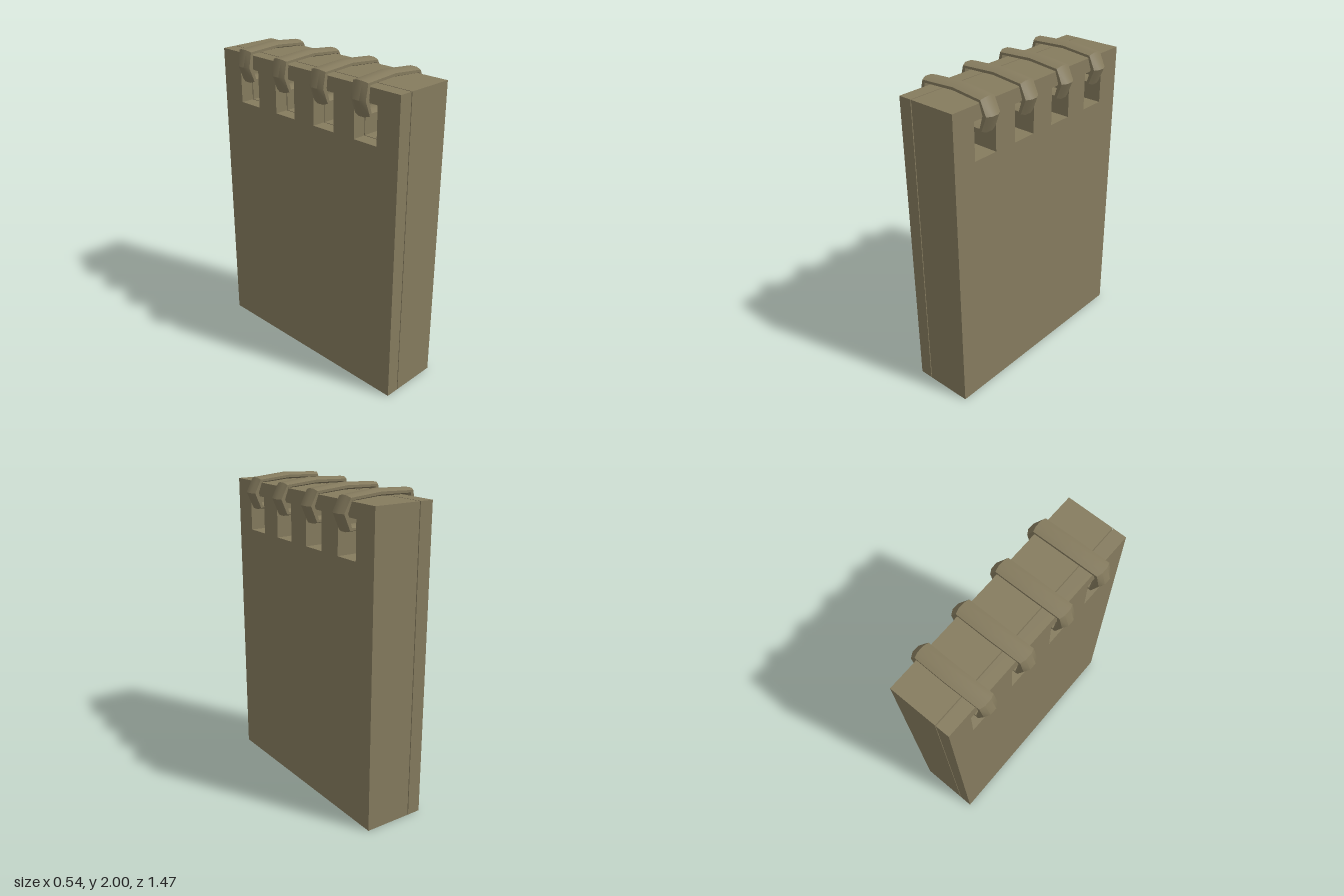
import * as THREE from 'three';
import { toCreasedNormals } from 'three/addons/utils/BufferGeometryUtils.js';

const material = new THREE.MeshStandardMaterial({ color: 0x857b5e });
const HALF_DEPTH = 0.737, HEIGHT = 1.95;
const SLOTS = [[0.41, 0.58], [0.085, 0.25], [-0.245, -0.08], [-0.575, -0.405]];
const RINGS = [0.483, 0.162, -0.162, -0.483];

// Upright board with a row of rectangular slots near its top edge
function board(name, x0, x1) {
  const shape = new THREE.Shape([
    new THREE.Vector2(-HALF_DEPTH, 0), new THREE.Vector2(HALF_DEPTH, 0),
    new THREE.Vector2(HALF_DEPTH, HEIGHT), new THREE.Vector2(-HALF_DEPTH, HEIGHT),
  ]);
  for (const [a, b] of SLOTS) {
    shape.holes.push(new THREE.Path([
      new THREE.Vector2(a, 1.625), new THREE.Vector2(a, 1.86),
      new THREE.Vector2(b, 1.86), new THREE.Vector2(b, 1.625),
    ]));
  }
  const geometry = new THREE.ExtrudeGeometry(shape, { depth: x1 - x0, bevelEnabled: false });
  geometry.rotateY(-Math.PI / 2).translate(x1, 0, 0);
  const mesh = new THREE.Mesh(geometry, material);
  mesh.name = name;
  return mesh;
}

// Closed binding ring: eight-sided sections spanning outer and inner loop points
function ringGeometry() {
  // outer x, outer y, inner x, inner y, sideways bow
  const stations = [
    [0, 2.0, 0, 1.96, -0.006],
    [0.215, 1.98, 0.195, 1.945, 0],
    [0.27, 1.885, 0.207, 1.885, 0.003],
    [0.222, 1.78, 0.19, 1.815, 0],
    [0, 1.78, 0, 1.812, 0],
    [-0.222, 1.78, -0.19, 1.815, 0],
    [-0.272, 1.885, -0.206, 1.885, 0.003],
    [-0.243, 1.988, -0.203, 1.955, 0],
  ];
  const SIDES = 8, grow = 1 / Math.cos(Math.PI / SIDES), positions = [], index = [];
  stations.forEach(([ox, oy, ix, iy, bow], j) => {
    for (let i = 0; i < SIDES; i++) {
      const a = ((i + 0.5) / SIDES) * Math.PI * 2;
      const c = Math.cos(a) * grow / 2, s = Math.sin(a) * grow;
      positions.push((ox + ix) / 2 + c * (ox - ix), (oy + iy) / 2 + c * (oy - iy), bow + s * 0.055);
      const i2 = (i + 1) % SIDES, row = j * SIDES, next = ((j + 1) % stations.length) * SIDES;
      index.push(row + i, row + i2, next + i, row + i2, next + i2, next + i);
    }
  });
  const geometry = new THREE.BufferGeometry();
  geometry.setAttribute('position', new THREE.Float32BufferAttribute(positions, 3));
  geometry.setIndex(index);
  return toCreasedNormals(geometry, 0.7);
}

export function createModel() {
  const model = new THREE.Group();
  model.name = 'boundBoards';
  // Thin cover and thick block, separated by a narrow gap
  model.add(board('coverBoard', -0.2, -0.113), board('mainBoard', -0.107, 0.2));

  const geometry = ringGeometry();
  RINGS.forEach((z, i) => {
    const ring = new THREE.Mesh(geometry, material);
    ring.name = `bindingRing${i + 1}`;
    ring.position.z = z;
    model.add(ring);
  });
  return model;
}
